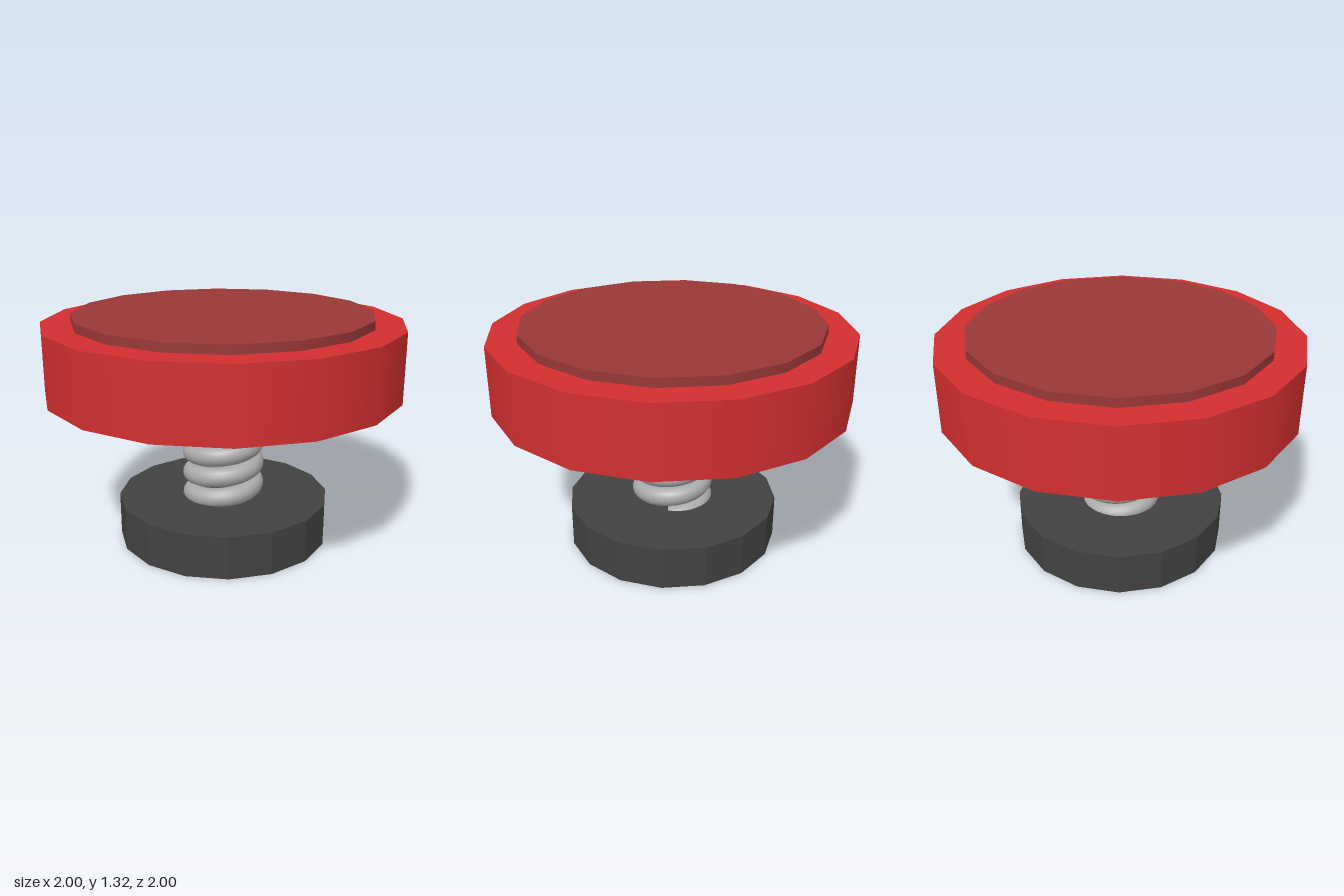
import * as THREE from 'three';

const material = (name, color, flatShading = false) => {
  const m = new THREE.MeshStandardMaterial({ color, flatShading });
  m.name = name;
  return m;
};

// Rising coil centred on the y axis
class Helix extends THREE.Curve {
  constructor(radius, bottom, pitch, turns) {
    super();
    Object.assign(this, { radius, bottom, pitch, turns });
  }
  getPoint(t, target = new THREE.Vector3()) {
    const a = t * this.turns * Math.PI * 2;
    return target.set(
      this.radius * Math.cos(a),
      this.bottom + this.pitch * this.turns * t,
      -this.radius * Math.sin(a)
    );
  }
}

export function createModel() {
  const model = new THREE.Group();
  model.name = 'springButton';

  const add = (name, geometry, mat) => {
    const mesh = new THREE.Mesh(geometry, mat);
    mesh.name = name;
    model.add(mesh);
    return mesh;
  };

  // Sixteen-sided disc between two heights
  const disc = (name, radius, y0, y1, mat) => {
    const geometry = new THREE.CylinderGeometry(radius, radius, y1 - y0, 16);
    add(name, geometry, mat).position.y = (y0 + y1) / 2;
  };

  disc('base', 0.607, 0, 0.245, material('charcoal', 0x424242, true));
  disc('buttonCap', 1, 0.88, 1.267, material('red', 0xd32f2f));
  disc('topPlate', 0.833, 1.267, 1.315, material('dark red', 0x993737));

  // Coil spring, its ends buried in the base and the cap
  const coil = new Helix(0.179, 0.198, 0.125, 6);
  add('spring', new THREE.TubeGeometry(coil, 240, 0.056, 16), material('steel grey', 0xaaaaaa));

  return model;
}
